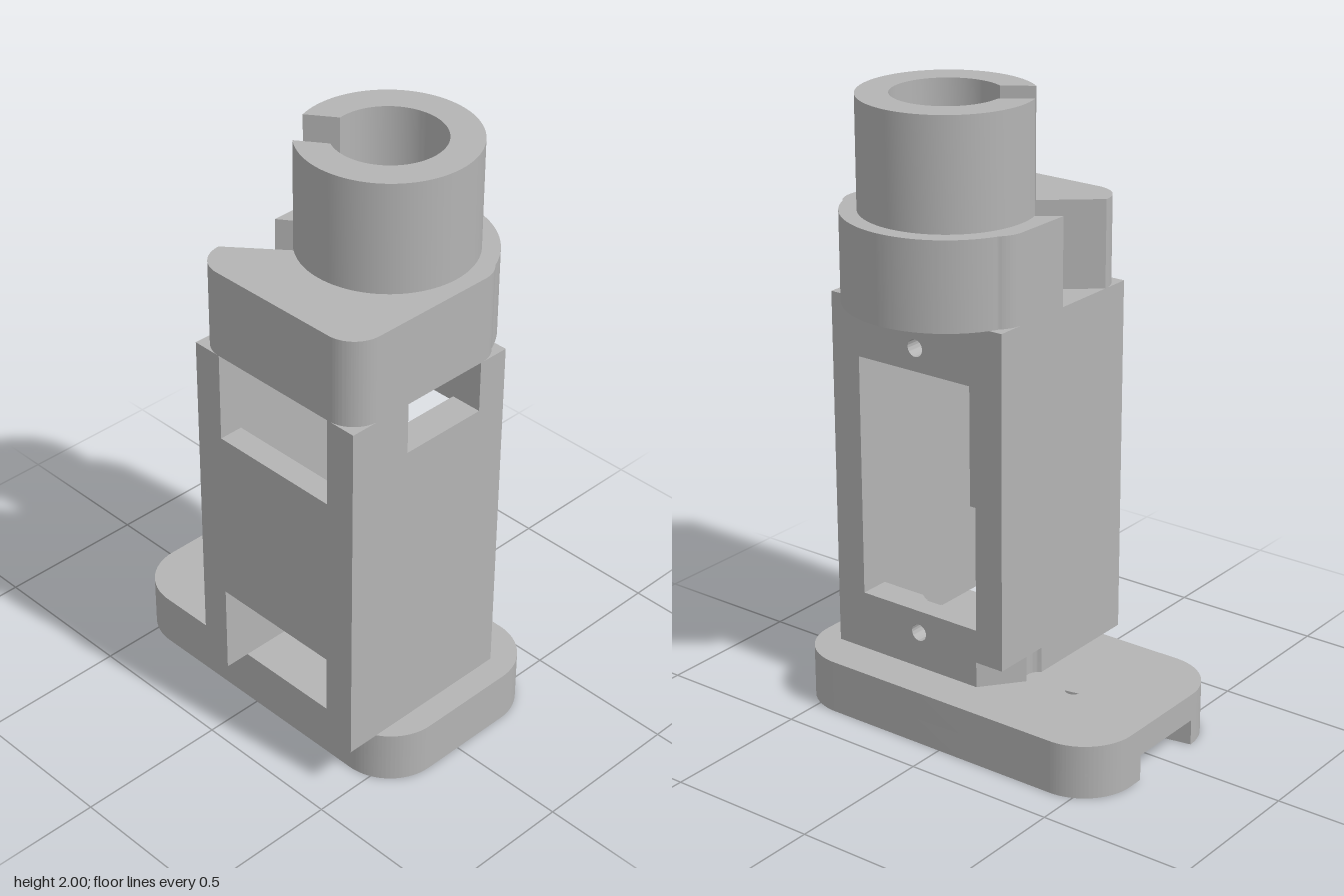
import * as THREE from 'three';
import { toCreasedNormals } from 'three/addons/utils/BufferGeometryUtils.js';

const CX = 0.1875, CZ = -0.07;      // axis of the bore
const SLOT = Math.PI - 0.618;       // direction of the clamp slot
const HALF = 0.077;                 // half width of the slots
const BORE = 0.172;
const PI = Math.PI;

export function createModel() {
  const model = new THREE.Group();
  const grey = new THREE.MeshStandardMaterial({ color: 0xb4b4b4 });
  grey.name = 'plain grey';

  const add = (name, geometry, parent) => {
    const mesh = new THREE.Mesh(geometry, grey);
    mesh.name = name;
    parent.add(mesh);
  };
  const group = (name) => {
    const g = new THREE.Group();
    g.name = name;
    model.add(g);
    return g;
  };
  const extrude = (shape, depth) =>
    new THREE.ExtrudeGeometry(shape, { depth, bevelEnabled: false, curveSegments: 48 });
  // Plan shape drawn in (x, z), raised from y0 to y1
  const slab = (shape, y0, y1) =>
    toCreasedNormals(extrude(shape, y1 - y0).rotateX(PI / 2).translate(0, y1, 0), 0.5);
  const box = (x0, x1, y0, y1, z0, z1) =>
    new THREE.BoxGeometry(x1 - x0, y1 - y0, z1 - z0)
      .translate((x0 + x1) / 2, (y0 + y1) / 2, (z0 + z1) / 2);
  const polygon = (pts) => new THREE.Shape(pts.map((p) => new THREE.Vector2(p[0], p[1])));
  const hole = (shape, x, y, r) =>
    shape.holes.push(new THREE.Path().absarc(x, y, r, 0, 2 * PI, true));
  // Inner edge of a slotted bore, the long way round from one slot side to the other
  const slottedBore = (shape, r, angle) => {
    const b = Math.asin(HALF / r);
    shape.absarc(CX, CZ, r, angle + b, angle - b + 2 * PI, false);
    shape.closePath();
  };

  // Base plate: outline starts and ends at the -x edge
  const plateOutline = (z0, z1) => {
    const s = new THREE.Shape(), r = 0.175;
    s.moveTo(-0.6, z0);
    s.absarc(-0.6 + r, 0.305 - r, r, PI, PI / 2, true);
    s.absarc(0.6 - r, 0.305 - r, r, PI / 2, 0, true);
    s.absarc(0.6 - r, -0.375 + r, r, 0, -PI / 2, true);
    s.absarc(-0.6 + r, -0.375 + r, r, -PI / 2, -PI, true);
    s.lineTo(-0.6, z1);
    return s;
  };
  const base = group('basePlate');
  const lower = plateOutline(CZ + HALF, CZ - HALF);
  slottedBore(lower, 0.13, PI);
  add('keyholeLayer', slab(lower, 0, 0.085), base);
  const upper = plateOutline(0, -0.01);
  hole(upper, CX, CZ, 0.09);
  for (const x of [-0.293, -0.16]) hole(upper, x, CZ, 0.027);
  add('plateTop', slab(upper, 0.085, 0.175), base);

  // Body walls around the open cavity
  const body = group('body');
  const L = -0.14, l = -0.04, r = 0.41, R = 0.515, B = -0.235, b = -0.135, F = 0.39, f = 0.31;
  const y0 = 0.175, y1 = 1.36;

  // Right side wall with a screw-head notch at its foot
  const notched = new THREE.Shape();
  const a = Math.acos(0.02 / 0.044);
  notched.moveTo(L, B);
  notched.absarc(-0.16, CZ, 0.044, -a, a, false);
  notched.lineTo(L, F);
  notched.lineTo(l, F);
  notched.lineTo(l, B);
  notched.closePath();
  add('rightWallFoot', slab(notched, y0, 0.26), body);
  add('rightWall', box(L, l, 0.26, y1, B, F), body);

  // Left side wall with a window under the cap
  add('leftWall', box(r, R, y0, 1.19, B, F), body);
  add('leftWallRearPost', box(r, R, 1.19, y1, B, -0.13), body);
  add('leftWallFrontPost', box(r, R, 1.19, y1, 0.17, F), body);

  add('frontPanel', box(l, r, 0.48, 1.065, f, F), body);

  // Rear cross bars with a screw hole each
  const bar = (name, ya, yb, yh, zIn) => {
    const s = polygon([[l, ya], [r, ya], [r, yb], [l, yb]]);
    hole(s, CX, yh, 0.028);
    add(name, toCreasedNormals(extrude(s, zIn - B).translate(0, 0, B), 0.5), body);
  };
  bar('rearLowerBar', y0, 0.37, 0.295, -0.16);
  bar('rearUpperBar', 1.17, 1.32, 1.245, b);

  // Pieces either side of a round cut of the given radius, between two depths
  const cutSides = (name, radius, zBack, zFront, ya, yb) => {
    for (const side of [-1, 1]) {
      const wall = side < 0 ? l : r;
      const pts = [[wall, zBack], [wall, zFront]];
      for (let i = 0; i <= 12; i++) {
        const z = zFront + (zBack - zFront) * i / 12;
        const dx = Math.sqrt(Math.max(radius ** 2 - (z - CZ) ** 2, 0));
        pts.push([CX + side * Math.max(dx, 0.028), z]);
      }
      add(name, slab(polygon(pts), ya, yb), body);
    }
  };
  cutSides('lowerBarGroove', 0.09, -0.16, b, y0, 0.37);
  cutSides('upperBarRecess', BORE, B, b, 1.32, y1);

  // Clamp cap: rounded block joined to a round boss, split by the slot
  const cap = new THREE.Shape();
  const boss = 0.4275;              // angle where the block corners meet the boss
  const edge = (n) => CZ + (n + 0.3275 * Math.sin(0.618)) / Math.cos(0.618);
  cap.moveTo(L, edge(HALF));
  cap.absarc(L + 0.1, F - 0.1, 0.1, PI, PI / 2, true);
  cap.absarc(R - 0.1, F - 0.1, 0.1, PI / 2, 0, true);
  cap.absarc(R - 0.1, B + 0.1, 0.1, 0, -PI / 4, true);
  cap.absarc(CX, CZ, 0.3275, -boss, -PI + boss, true);
  cap.absarc(L + 0.1, B + 0.1, 0.1, -0.75 * PI, -PI, true);
  cap.lineTo(L, edge(-HALF));
  slottedBore(cap, BORE, SLOT);
  add('clampCap', slab(cap, y1, 1.645), model);

  // Slotted collar tube
  const tube = new THREE.Shape();
  const o = Math.asin(HALF / 0.273);
  tube.absarc(CX, CZ, 0.273, SLOT - o, SLOT + o - 2 * PI, true);
  slottedBore(tube, BORE, SLOT);
  add('collarTube', slab(tube, 1.645, 2), model);

  return model;
}
